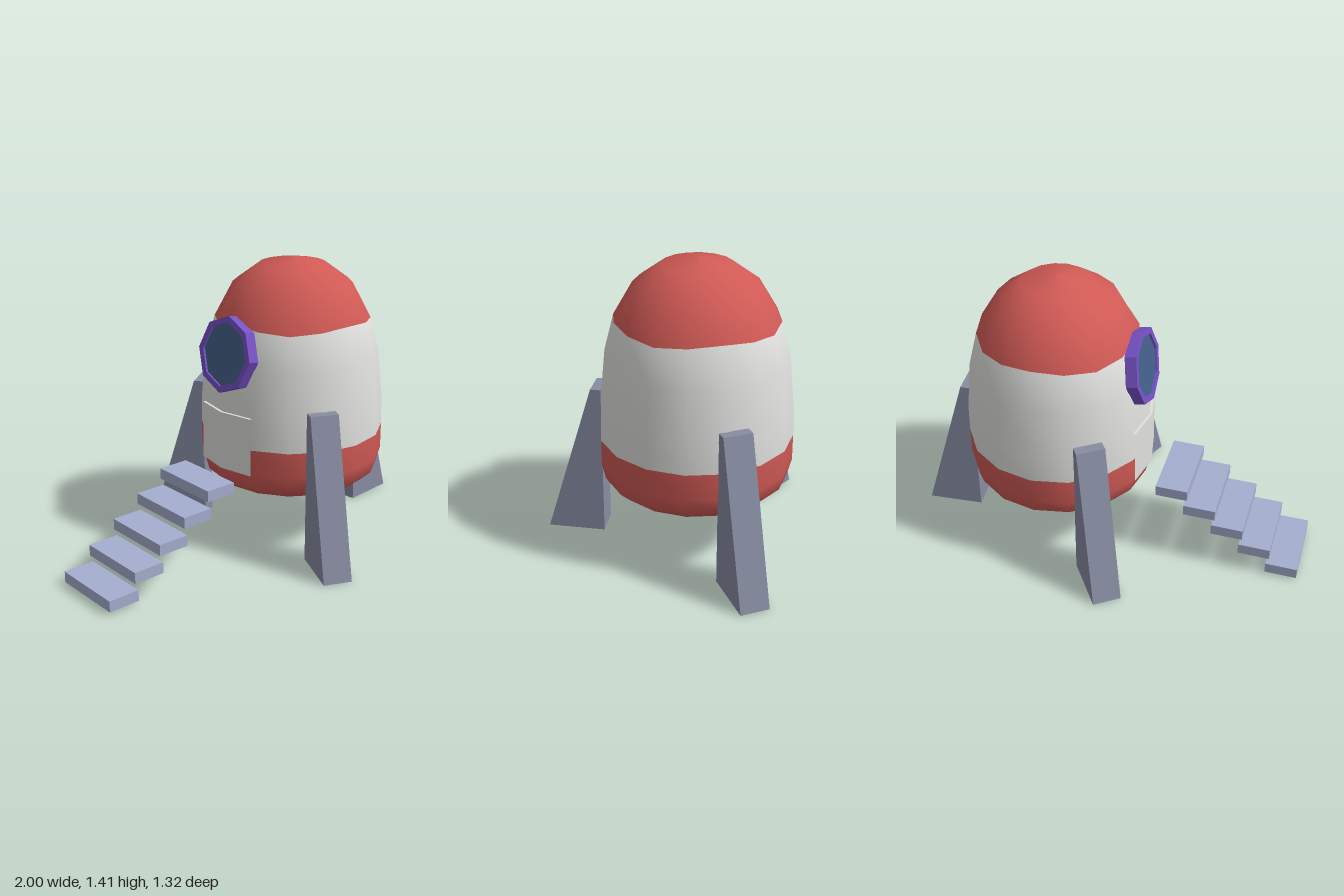
import * as THREE from 'three';

const paint = (name, color) => {
  const m = new THREE.MeshStandardMaterial({ color });
  m.name = name;
  return m;
};

export function createModel() {
  const red = paint('red', 0xd05a55);
  const white = paint('white', 0xe0e0de);
  const steel = paint('leg grey', 0x888da3);
  const stepBlue = paint('step blue grey', 0xa6aed0);
  const purple = paint('purple', 0x7651c4);
  const glass = paint('window blue', 0x426088);

  const model = new THREE.Group();
  const add = (parent, name, geometry, material) => {
    const mesh = new THREE.Mesh(geometry, material);
    mesh.name = name;
    parent.add(mesh);
    return mesh;
  };

  // Capsule hull: one smooth lathe, cut into three coloured bands by profile row
  const hull = new THREE.Group();
  hull.name = 'hull';
  hull.position.set(0.27, 0, -0.027);
  model.add(hull);
  const SIDES = 16;
  const profile = [
    [0, 0.27], [0.2, 0.277], [0.3, 0.287], [0.39, 0.31], [0.44, 0.355], [0.46, 0.43], [0.46, 0.56],
    [0.457, 0.7], [0.432, 0.95], [0.387, 1.127], [0.295, 1.29], [0.165, 1.385], [0, 1.415],
  ].map(([r, y]) => new THREE.Vector2(r, y));
  const lathe = new THREE.LatheGeometry(profile, SIDES);
  const SKIRT = 6, CAP = 9;
  const rows = profile.length - 1;

  // The lower edge of the cap dips gently on the diagonals
  for (let i = 0; i <= SIDES; i++) {
    const v = i * profile.length + CAP;
    const angle = (i / SIDES) * Math.PI * 2;
    lathe.attributes.position.setY(v, 1.127 + 0.012 * Math.cos(4 * angle));
  }
  const band = (from, to) => {
    const g = lathe.clone();
    g.setIndex(Array.from(lathe.index.array).filter((_, k) => {
      const row = Math.floor(k / 6) % rows;
      return row >= from && row < to;
    }));
    return g;
  };
  add(hull, 'lowerHull', band(0, SKIRT), red);
  add(hull, 'middleHull', band(SKIRT, CAP), white);
  add(hull, 'noseCap', band(CAP, rows), red);

  // Door: thin curved plate, two facets wide, facing -x
  const door = new THREE.LatheGeometry(
    [[0.455, 0.43], [0.468, 0.43], [0.466, 0.72], [0.45, 0.72]].map(([r, y]) => new THREE.Vector2(r, y)),
    2, Math.PI * 1.375, Math.PI / 4).toNonIndexed();
  door.computeVertexNormals();
  const doorMesh = add(hull, 'door', door, white);
  doorMesh.position.x = -0.002;

  // Three tapered landing legs, spread evenly
  const legShape = new THREE.Shape(
    [[0.445, 0], [0.725, 0], [0.495, 0.76], [0.445, 0.76]].map(([r, y]) => new THREE.Vector2(r, y)));
  const legGeometry = new THREE.ExtrudeGeometry(legShape, { depth: 0.14, bevelEnabled: false });
  legGeometry.translate(0, 0, -0.07);
  for (let i = 0; i < 3; i++) {
    const leg = add(model, 'leg' + (i + 1), legGeometry, steel);
    leg.position.copy(hull.position);
    leg.rotation.y = -THREE.MathUtils.degToRad(-5 + i * 120);
  }

  // Floating steps up to the door
  const stepGeometry = new THREE.BoxGeometry(0.158, 0.055, 0.37);
  for (let i = 0; i < 5; i++) {
    const step = add(model, 'step' + (i + 1), stepGeometry, stepBlue);
    step.position.set(-0.92 + i * 0.1425, 0.038 + i * 0.0912, -0.03);
  }

  // Octagonal porthole, leaning back with the hull
  const porthole = new THREE.Group();
  porthole.name = 'porthole';
  porthole.position.set(-0.145, 0.998, -0.03);
  porthole.rotation.set(0, -Math.PI / 2, -0.175, 'ZYX');
  model.add(porthole);
  const octagon = (r) => Array.from({ length: 8 }, (_, i) =>
    new THREE.Vector2(r * Math.cos(i * Math.PI / 4), r * Math.sin(i * Math.PI / 4)));
  const rim = new THREE.Shape(octagon(0.186));
  rim.holes.push(new THREE.Path(octagon(0.155)));
  const rimGeometry = new THREE.ExtrudeGeometry(rim, { depth: 0.056, bevelEnabled: false });
  rimGeometry.translate(0, 0, -0.028);
  add(porthole, 'portholeRim', rimGeometry, purple);
  const pane = add(porthole, 'portholeGlass', new THREE.ShapeGeometry(new THREE.Shape(octagon(0.156))), glass);
  pane.position.z = 0.017;

  return model;
}
